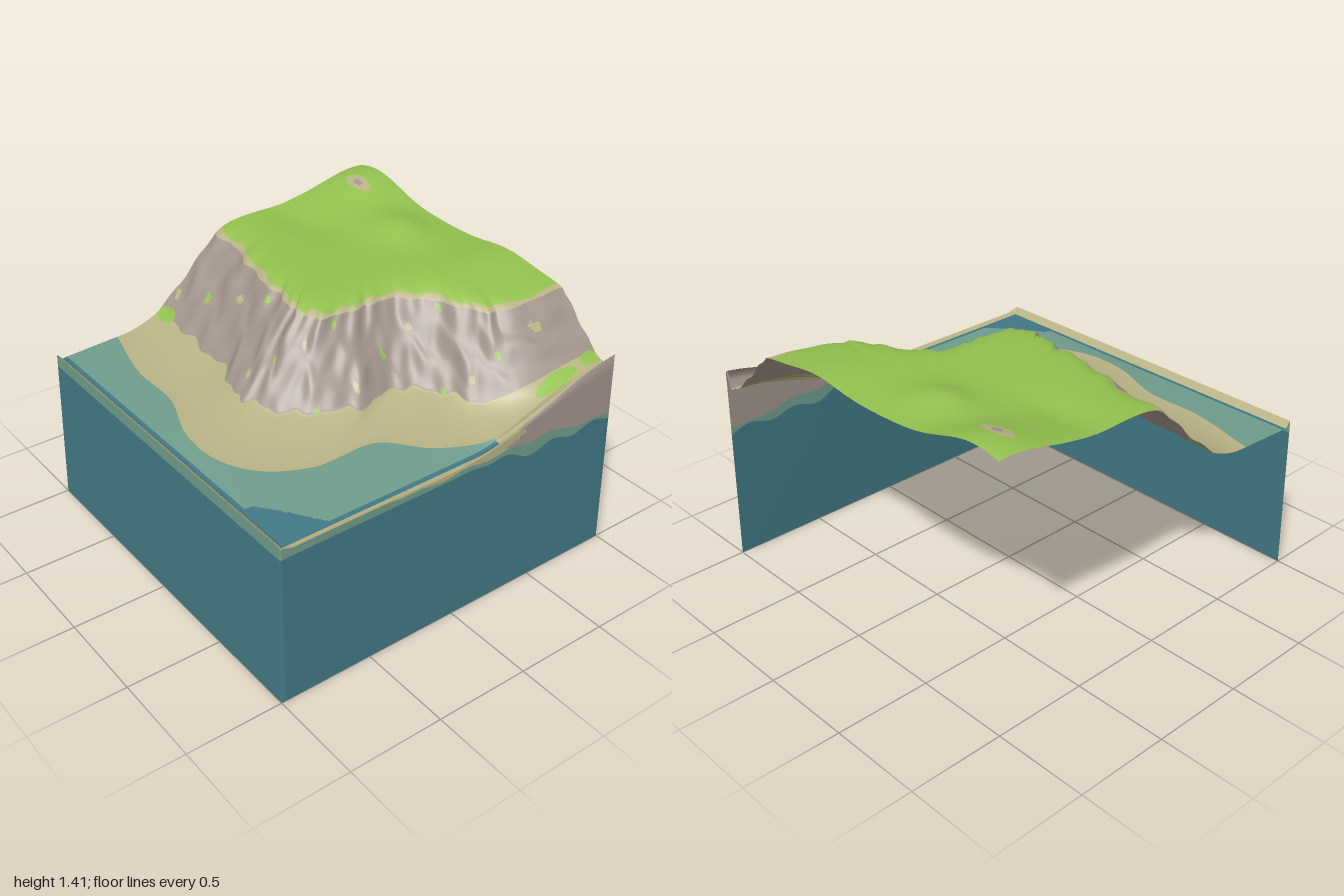
import * as THREE from 'three';

const { lerp, smoothstep } = THREE.MathUtils;

// Contour lines in plan (x, z), from the back edge round the bay to the right edge
const contour = points => new THREE.CatmullRomCurve3(points.map(([x, z]) => new THREE.Vector3(x, 0, z)));
const shoreLine = contour([[-.62, -1], [-.71, -.62], [-.72, -.3], [-.82, 0], [-.82, .25], [-.72, .44],
  [-.5, .57], [-.15, .59], [.03, .78], [.3, .905], [.62, .905], [1, .9]]);
const footLine = contour([[-.36, -1], [-.38, -.68], [-.4, -.35], [-.49, -.08], [-.47, .08], [-.34, .26],
  [-.12, .38], [.14, .37], [.29, .48], [.37, .68], [.54, .8], [1, .84]]);
const topLine = contour([[.02, -1], [-.03, -.68], [-.11, -.36], [-.13, -.14], [-.16, 0], [-.08, .1],
  [.1, .12], [.27, .13], [.43, .25], [.53, .46], [.62, .55], [1, .6]]);

// Rolling height of the grass, and gullies in the cliff
const bump = (x, z, cx, cz, rx, rz) => Math.exp(-(((x - cx) / rx) ** 2) - ((z - cz) / rz) ** 2);
const plateau = (x, z) => 1.3 + .11 * bump(x, z, .95, -.86, .3, .29) + .055 * bump(x, z, .74, -.35, .15, .18)
  + .035 * bump(x, z, .95, .2, .35, .2) - .02 * bump(x, z, .42, -.75, .12, .25);
const ripple = (u, t) => .5 * Math.sin(u * 75 + 3 * t) + .35 * Math.sin(u * 131 + 1.3 - 4 * t)
  + .3 * Math.sin(u * 43 + 2);

// Guide points of one section, from the wall base up to the plateau corner
function section(u) {
  const x = lerp(-.97, 1, Math.max(0, 2 * u - 1)), z = lerp(-1, .97, Math.min(1, 2 * u));
  const rimY = lerp(.845, .82, smoothstep(u, .49, .52)) + .265 * smoothstep(x, 0, 1.1);
  const rim = new THREE.Vector3(x, rimY, z);
  const base = new THREE.Vector3(u <= .5 ? -1 : x, 0, u >= .5 ? 1 : z);
  const wall = y => base.clone().lerp(rim, y / rim.y);
  const deepLine = .778 - .045 * smoothstep(x, .25, .45) + .016 * Math.sin(x * 23) * smoothstep(x, -.1, .5);
  const tideLine = lerp(rimY - .003, .8 - .045 * smoothstep(x, .55, .9) + .007 * Math.sin(x * 23),
    smoothstep(x, -.45, -.15));
  const inset = (d, y) => new THREE.Vector3(Math.max(x, -.97 + d), y, Math.min(z, .97 - d));

  const shore = shoreLine.getPoint(u), foot = footLine.getPoint(u), top = topLine.getPoint(u);
  const across = foot.clone().sub(top), fade = 1 - smoothstep(u, .8, .9);
  foot.addScaledVector(across, .07 * fade * ripple(u, 1));
  top.addScaledVector(across, .06 * ripple(u, 2));
  shore.z = Math.min(shore.z, .908);
  shore.y = .83 + .18 * smoothstep(u, .78, 1);
  foot.y = .9 + .14 * smoothstep(u, .82, 1) - .012 * fade * ripple(u, 1);
  top.y = 1.25 + .03 * smoothstep(u, .9, 1);
  return [base, wall(deepLine), wall(tideLine), rim, inset(.03, shore.y - .018),
    inset(.055, shore.y - .015), shore, foot, top, new THREE.Vector3(1, plateau(1, -1), -1)];
}

// Bands between neighbouring guide points, with their number of rows
const BANDS = [
  ['seaWall', 4], ['tideWall', 2], ['rimWall', 4], ['rimInside', 2], ['moat', 2],
  ['shelf', 30], ['beach', 16], ['cliff', 32], ['plateau', 60],
];

function bandPoint(name, a, b, t, u) {
  if (name === 'plateau') t = t * t * (3 - 2 * t);
  const p = a.clone().lerp(b, t);
  if (name === 'beach') p.y = lerp(a.y, b.y, t * t);
  if (name === 'cliff') {
    const r = ripple(u, t) * Math.sin(Math.PI * t);
    p.x += .09 * r * (b.x - a.x);
    p.z += .09 * r * (b.z - a.z);
    p.y += .02 * r + .01 * Math.sin(t * 12 + u * 50) * Math.sin(Math.PI * t);
  }
  if (name === 'plateau') {
    const d = Math.hypot(p.x - a.x, p.z - a.z);
    p.y = lerp(a.y, plateau(p.x, p.z), 1 - Math.exp(-d / .07));
  }
  return p;
}

function colourOf(name, { x, y, z }, top, t, u) {
  const within = (cx, cz, rx, rz) => ((x - cx) / rx) ** 2 + ((z - cz) / rz) ** 2 < 1;
  if (name === 'seaWall') return 'deepWater';
  if (name === 'tideWall') return 'shallowWater';
  if (name === 'rimWall') return x > .38 + .06 * Math.sin(y * 60) ? 'rock' : 'sand';
  if (name === 'rimInside') return x > .65 ? 'rock' : 'sand';
  if (name === 'moat') return x > .3 ? 'sand' : 'deepWater';
  // Grass tufts at the cliff foot
  if (within(-.36, -.93, .035, .075) || within(.72, .87, .13, .035) || within(.95, .86, .06, .03)) return 'grass';
  if (name === 'shelf') {
    if (x > .3) return 'sand';
    return z > .63 && z - .63 > (x + .88) * 1.39 ? 'deepWater' : 'shallowWater';
  }
  if (name === 'beach') return 'sand';
  if (name === 'cliff') {
    // Scattered ledges
    const spot = Math.sin(u * 47 + 1);
    if (spot * Math.sin(t * 7 + u * 23) < .945) return 'rock';
    return spot > 0 ? 'sand' : 'grass';
  }
  // Bare knoll, then the worn fringe of the grass
  if (within(.83, -.81, .018, .035)) return 'rock';
  if (within(.83, -.81, .042, .095)) return 'sand';
  return Math.hypot(x - top.x, z - top.z) < .03 + .015 * ripple(u, .5) ? 'sand' : 'grass';
}

export function createModel() {
  const colours = { grass: 0x93c04e, rock: 0xa1948b, sand: 0xb8b285, shallowWater: 0x6f9c8b, deepWater: 0x417884 };
  const materials = {};
  for (const [name, color] of Object.entries(colours)) {
    materials[name] = new THREE.MeshStandardMaterial({ color, side: THREE.DoubleSide });
    materials[name].name = name;
  }

  // Loft the sections into one smooth surface
  const COLS = 360, points = [], rows = [], tops = [];
  BANDS.forEach(([name, n], b) => { for (let j = 0; j < n; j++) rows.push([name, b, j / n]); });
  rows.push(['plateau', BANDS.length - 1, 1]);
  for (let i = 0; i <= COLS; i++) {
    const u = i / COLS, guides = section(u);
    tops.push(guides[8]);
    for (const [name, b, t] of rows) points.push(bandPoint(name, guides[b], guides[b + 1], t, u));
  }
  const surface = new THREE.BufferGeometry().setFromPoints(points);

  // Sort the faces by part and colour
  const parts = {}, all = [], R = rows.length;
  for (let i = 0; i < COLS; i++) {
    for (let j = 0; j < R - 1; j++) {
      const a = i * R + j, b = a + R, [name, , t] = rows[j];
      for (const tri of [[a, b, a + 1], [b, b + 1, a + 1]]) {
        const mid = new THREE.Vector3();
        tri.forEach(k => mid.addScaledVector(points[k], 1 / 3));
        const colour = colourOf(name, mid, tops[i], t, i / COLS);
        ((parts[name] ??= {})[colour] ??= []).push(...tri);
        all.push(...tri);
      }
    }
  }
  surface.setIndex(all);
  surface.computeVertexNormals();

  const model = new THREE.Group();
  model.name = 'coastalCliff';
  for (const [name, byColour] of Object.entries(parts)) {
    const part = new THREE.Group();
    part.name = name;
    for (const [colour, index] of Object.entries(byColour)) {
      const geometry = new THREE.BufferGeometry();
      geometry.setAttribute('position', surface.attributes.position);
      geometry.setAttribute('normal', surface.attributes.normal);
      geometry.setIndex(index);
      const mesh = new THREE.Mesh(geometry, materials[colour]);
      mesh.name = `${name} ${colour}`;
      part.add(mesh);
    }
    model.add(part);
  }
  return model;
}
